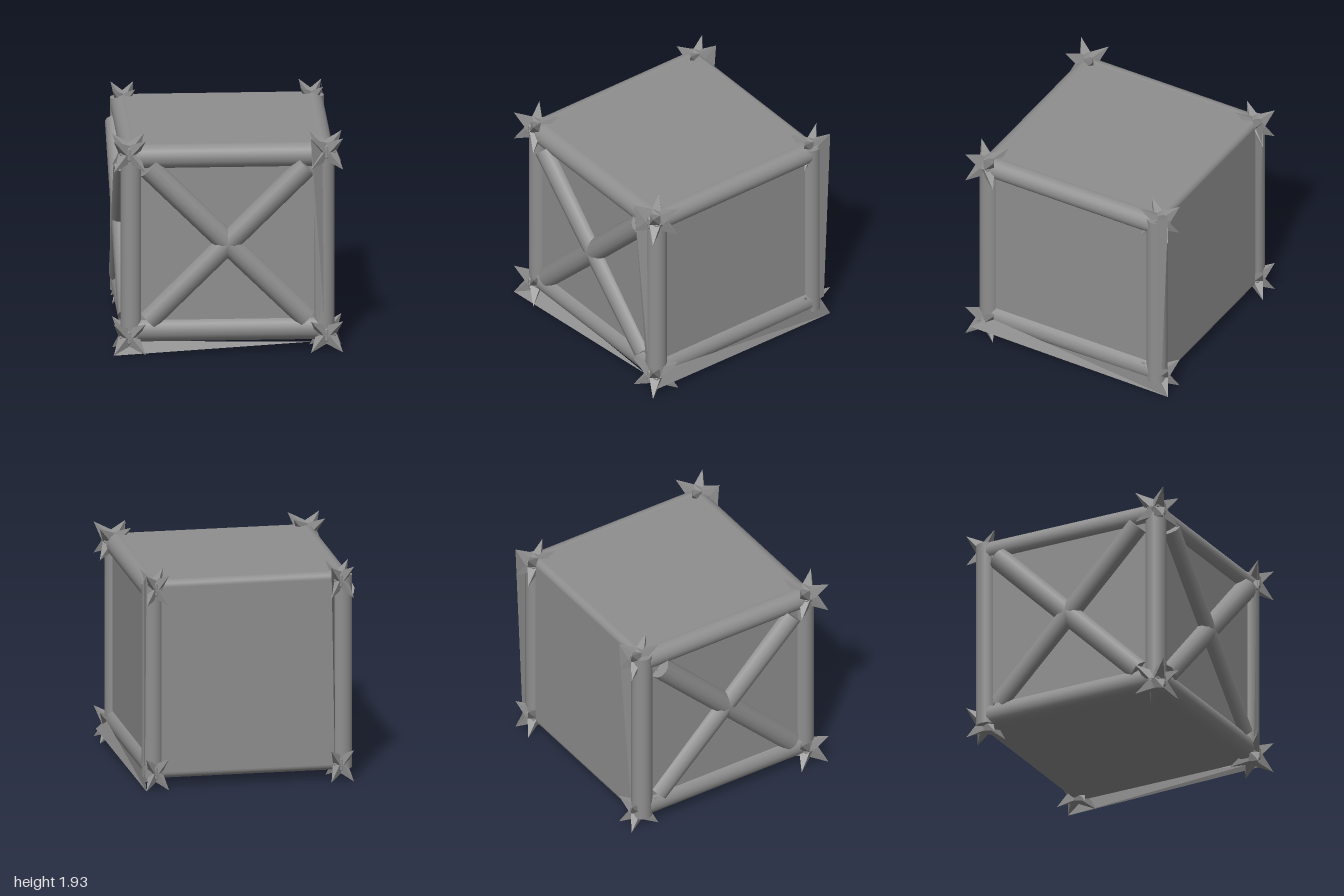
import * as THREE from 'three';
import { RoundedBoxGeometry } from 'three/addons/geometries/RoundedBoxGeometry.js';

const UP = new THREE.Vector3(0, 1, 0);
const V = (a) => new THREE.Vector3(...a);

export function createModel() {
  const group = new THREE.Group();
  const grey = new THREE.MeshStandardMaterial({ color: 0x8f8f8f, side: THREE.DoubleSide });
  grey.name = 'plain grey';

  const add = (name, geometry, parent = group) => {
    const mesh = new THREE.Mesh(geometry, grey);
    mesh.name = name;
    parent.add(mesh);
    return mesh;
  };

  // Round bar between two points
  const bar = (name, a, b, r, sides = 20) => {
    const p = V(a), q = V(b), dir = q.clone().sub(p);
    const mesh = add(name, new THREE.CylinderGeometry(r, r, dir.length(), sides));
    mesh.position.copy(p).add(q).multiplyScalar(0.5);
    mesh.quaternion.setFromUnitVectors(UP, dir.normalize());
  };

  // Thin torn sheet, three or four corners
  const sliver = (name, ...pts) => {
    const g = new THREE.BufferGeometry().setFromPoints(pts.map(V));
    g.setIndex(pts.length === 4 ? [0, 1, 2, 0, 2, 3] : [0, 1, 2]);
    const flat = g.toNonIndexed();
    flat.computeVertexNormals();
    add(name, flat);
  };

  // Crate body with rounded edges
  add('crateBody', new RoundedBoxGeometry(1.76, 1.78, 1.77, 4, 0.06)).position.set(0, 0.967, -0.01);

  // Frame beams
  const P = 0.84, r = 0.093;
  for (const y of [0.19, 1.748]) bar('frontBeam', [-P, y, 0.82], [P, y, 0.82], 0.11);
  for (const s of [-1, 1]) {
    bar('topSideBeam', [s * 0.83, 1.762, -0.8], [s * 0.83, 1.762, P], 0.098);
    bar('bottomSideBeam', [s * 0.82, 0.19, -0.8], [s * 0.82, 0.19, P], 0.11);
    for (const z of [-P, P]) bar('post', [s * P, 0.1, z], [s * P, 1.83, z], r);
  }

  // Crossed braces on the front and on the right side, leaning out at the top
  const d = 0.69, cy = 0.97, top = 0.885, bottom = 0.85;
  for (const s of [-1, 1]) {
    bar('frontBrace', [s * d, cy + d, top], [-s * d, cy - d, bottom], 0.1, 12);
    bar('sideBrace', [-top, cy + d, s * d], [-bottom, cy - d, -s * d], 0.1, 12);
  }

  // Spiked corners: a faceted core with eight broad spikes
  const spike = new THREE.ConeGeometry(0.52, 1.4, 4).translate(0, 1.032, 0).toNonIndexed();
  spike.computeVertexNormals();
  const core = new THREE.IcosahedronGeometry(0.72, 0);
  for (const x of [-1, 1]) for (const y of [0.14, 1.79]) for (const z of [-0.86, 0.86]) {
    const star = new THREE.Group();
    star.name = 'spikedCorner';
    star.position.set(x * (z > 0 ? 0.86 : 0.82), y, z);
    star.scale.set(z > 0 ? 0.14 : 0.1, 0.14, 0.14);
    group.add(star);
    add('cornerCore', core, star);
    for (const i of [-1, 1]) for (const j of [-1, 1]) for (const k of [-1, 1]) {
      add('cornerSpike', spike, star).quaternion.setFromUnitVectors(UP, V([i, j, k]).normalize());
    }
  }

  // Torn slivers stretched along the edges
  sliver('backEdgeSliver', [0.92, 1.93, -1], [0.92, 1.85, -0.86], [0.92, 0.21, -0.87], [0.92, 0.21, -0.93]);
  sliver('backEdgeSliver', [-0.72, 1.93, -1], [-0.77, 1.8, -0.89], [-0.77, 0.1, -0.9]);
  sliver('bottomSideSliver', [0.9, 0.08, 0.8], [0.93, 0.14, 0.8], [0.92, 0.24, -0.85], [0.92, 0, -1]);
  sliver('bottomSideSliver', [0.92, 0, -1], [0.99, 0.08, 0.95], [0.93, 0.2, 0.8]);
  sliver('bottomFrontSliver', [-1, 0, 1], [0.75, 0.07, 0.88], [-0.9, 0.09, 0.85]);
  sliver('frontEdgeSliver', [0.72, 1.92, 0.99], [0.84, 1.86, 0.92], [0.84, 0.28, 0.93], [0.79, 0.28, 0.92]);

  return group;
}
